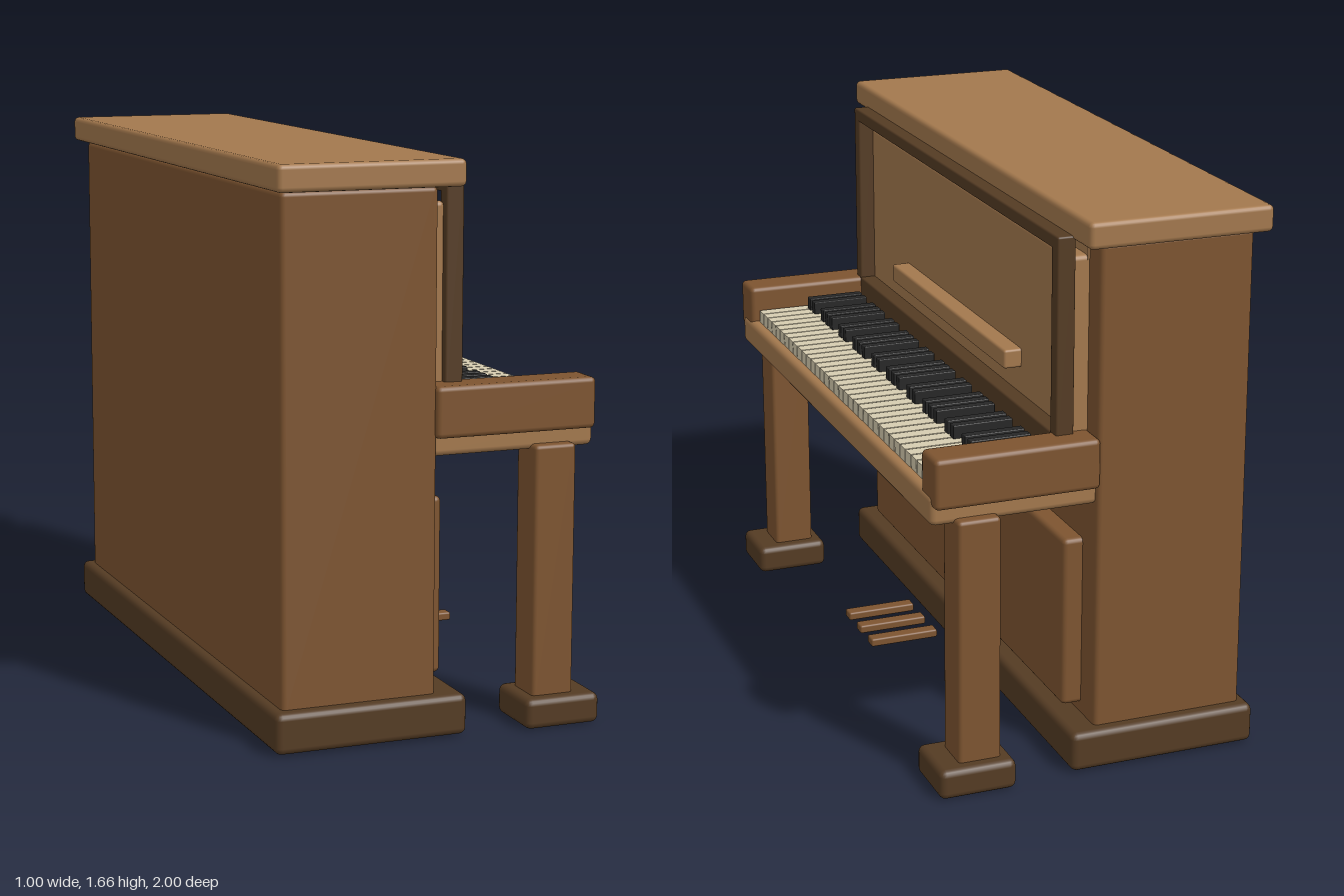
import * as THREE from 'three';
import { RoundedBoxGeometry } from 'three/addons/geometries/RoundedBoxGeometry.js';

function material(name, color) {
  const m = new THREE.MeshStandardMaterial({ color });
  m.name = name;
  return m;
}

export function createModel() {
  const piano = new THREE.Group();
  piano.name = 'uprightPiano';
  const light = material('lightWood', 0xa3784d);
  const mid = material('midWood', 0x7d5430);
  const dark = material('darkWood', 0x543b23);
  const ivory = material('ivory', 0xd6ccb0);
  const ebony = material('ebony', 0x262626);

  // Box given by its limits on each axis; r rounds the edges
  function box(name, mat, [x0, x1], [y0, y1], [z0, z1], r = 0.015, parent = piano) {
    const size = [x1 - x0, y1 - y0, z1 - z0];
    const geo = r > 0 ? new RoundedBoxGeometry(...size, 2, r) : new THREE.BoxGeometry(...size);
    const mesh = new THREE.Mesh(geo, mat);
    mesh.name = name;
    mesh.position.set((x0 + x1) / 2, (y0 + y1) / 2, (z0 + z1) / 2);
    parent.add(mesh);
  }

  // Cabinet
  box('base', dark, [-0.5, 0.085], [0.005, 0.125], [-0.98, 0.98], 0.02);
  box('body', mid, [-0.47, 0], [0.11, 1.585], [-0.94, 0.94]);
  box('lid', light, [-0.5, 0.06], [1.587, 1.665], [-1, 1]);
  box('lowerPanel', mid, [-0.02, 0.06], [0.155, 0.68], [-0.84, 0.84]);
  box('upperPanel', light, [-0.02, 0.055], [0.9, 1.535], [-0.86, 0.86]);
  box('upperPanelBacking', light, [0, 0.006], [1.4, 1.578], [-0.86, 0.86], 0);

  // Dark frame around the upper panel
  box('frameTop', dark, [0.05, 0.105], [1.56, 1.6], [-0.88, 0.88], 0.006);
  box('frameBottom', dark, [0.05, 0.105], [0.9, 1.02], [-0.84, 0.84], 0.006);
  box('musicShelf', light, [0.04, 0.11], [1.1, 1.158], [-0.495, 0.495], 0.008);

  // Keyboard bed
  box('keyBed', light, [-0.01, 0.5], [0.815, 0.905], [-0.925, 0.925], 0.018);

  // Mirrored parts
  for (const s of [-1, 1]) {
    const side = (a, b) => (s > 0 ? [a, b] : [-b, -a]);
    box('framePost', dark, [0.05, 0.105], [1.0, 1.6], side(0.835, 0.88), 0.006);
    box('keyArm', mid, [-0.005, 0.495], [0.87, 1.02], side(0.835, 0.953));
    box('leg', mid, [0.3, 0.43], [0.08, 0.832], side(0.835, 0.96), 0.012);
    box('foot', dark, [0.265, 0.5], [0, 0.09], side(0.795, 1), 0.02);
  }

  // Five octaves of keys, running along z
  const keys = new THREE.Group();
  keys.name = 'keys';
  piano.add(keys);
  const count = 35, pitch = 1.65 / count;
  for (let i = 0; i < count; i++) {
    const z = -0.825 + i * pitch;
    box('whiteKey', ivory, [0.15, 0.47], [0.89, 0.945], [z + 0.0025, z + pitch - 0.0025], 0, keys);
    if ([1, 2, 3, 5, 6].includes(i % 7)) {
      box('blackKey', ebony, [0.125, 0.31], [0.93, 0.985], [z - 0.015, z + 0.015], 0.003, keys);
    }
  }

  // Pedals
  for (const z of [-0.11, 0, 0.11]) {
    box('pedal', mid, [0.19, 0.41], [0.1, 0.126], [z - 0.022, z + 0.022], 0.006);
  }
  return piano;
}
